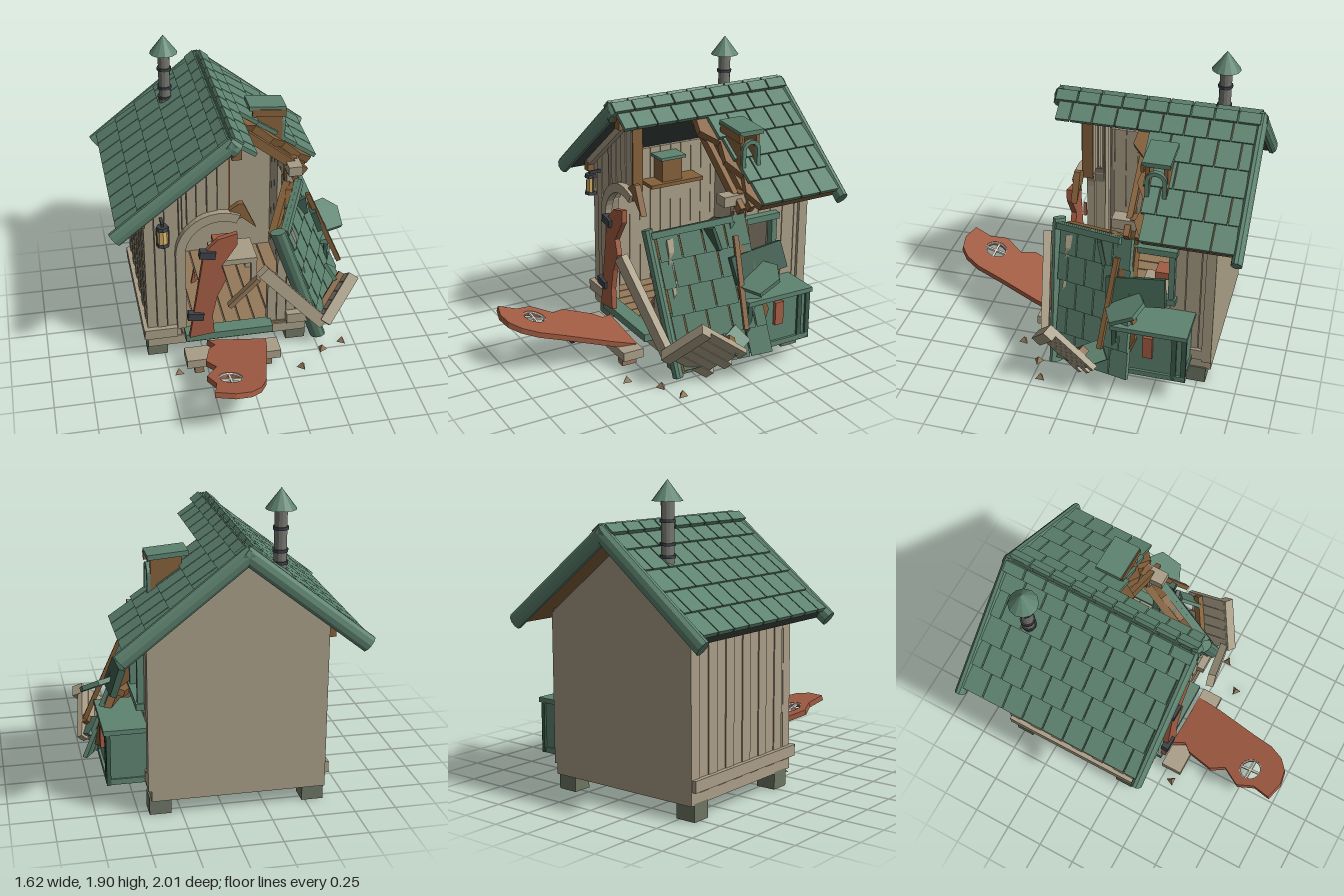
import * as THREE from 'three';

const C = { green: 0x5e8370, dark: 0x3c5a4c, wood: 0xa89d86, brown: 0x84603a, floor: 0x94795a, red: 0xa25c43,
  stone: 0x6d7563, iron: 0x3c4145, pipe: 0x74746f, under: 0x3b4540, glass: 0xd9b56a, pale: 0xd8d4c8 };
const mats = {};
const mat = c => mats[c] ??= new THREE.MeshStandardMaterial({ color: C[c], flatShading: true, side: THREE.DoubleSide });
const V = (x, y, z) => new THREE.Vector3(x, y, z);

function add(parent, name, geo, color, x = 0, y = 0, z = 0, rx = 0, ry = 0, rz = 0) {
  const m = new THREE.Mesh(geo, mat(color));
  m.name = name;
  m.position.set(x, y, z);
  m.rotation.set(rx, ry, rz);
  parent.add(m);
  return m;
}
const box = (p, name, color, w, h, d, x, y, z, rx, ry, rz) => add(p, name, new THREE.BoxGeometry(w, h, d), color, x, y, z, rx, ry, rz);
// box given by its minimum and maximum corners
const span = (p, name, color, x0, x1, y0, y1, z0, z1) =>
  box(p, name, color, x1 - x0, y1 - y0, z1 - z0, (x0 + x1) / 2, (y0 + y1) / 2, (z0 + z1) / 2);
// squared timber between two points
function beam(p, name, color, a, b, w, h = w) {
  const m = box(p, name, color, w, h, a.distanceTo(b), 0, 0, 0);
  m.position.copy(a).add(b).multiplyScalar(0.5);
  m.lookAt(b);
  return m;
}
const shapeOf = pts => new THREE.Shape(pts.map(([x, y]) => new THREE.Vector2(x, y)));
const solid = (shape, depth) => new THREE.ExtrudeGeometry(shape, { depth, bevelEnabled: false, curveSegments: 16 });
const upright = (pts, depth) => solid(shapeOf(pts), depth);
const lying = (pts, depth) => solid(shapeOf(pts), depth).rotateX(Math.PI / 2); // shape y becomes z, top at y = 0
// arched strip with legs down to y = bottom, broken off at angle end
function archPoints(cx, cy, ro, ri, bottom, end) {
  const outer = [], inner = [];
  for (let i = 0; i <= 12; i++) {
    const a = Math.PI + (end - Math.PI) * i / 12;
    outer.push([cx + ro * Math.cos(a), cy + ro * Math.sin(a)]);
    inner.unshift([cx + ri * Math.cos(a), cy + ri * Math.sin(a)]);
  }
  const legs = end <= 0 ? [[cx + ro, bottom], [cx + ri, bottom]] : [];
  return [[cx - ro, bottom], ...outer, ...legs, ...inner, [cx - ri, bottom]];
}
// group whose local x and z follow two given directions
function frame(parent, name, origin, xDir, zDir) {
  const g = new THREE.Group(), x = xDir.clone().normalize();
  const y = zDir.clone().cross(x).normalize();
  g.name = name;
  g.quaternion.setFromRotationMatrix(new THREE.Matrix4().makeBasis(x, y, x.clone().cross(y)));
  g.position.copy(origin);
  parent.add(g);
  return g;
}
// overlapping shingle courses; side is the sign of the downhill direction
function shingles(g, side, length, z0, z1, edge) {
  const courses = Math.round(length / 0.17), step = length / courses, w = 0.14;
  for (let i = 0; i < courses; i++) {
    const s = (i + 0.5) * step, end = Math.min(z1, edge(s));
    for (let z = z0 - (i % 2) * w / 2; z < end - 0.03; z += w) {
      const a = Math.max(z, z0), b = Math.min(z + w, end);
      if (b - a > 0.03) box(g, 'shingle', 'green', step + 0.02, 0.026, b - a - 0.008, side * s, 0.016, (a + b) / 2, 0, 0, side * 0.07);
    }
  }
}
// rounded roof edge log running down the slope
const edgeLog = (g, side, z, s0, s1) => add(g, 'roofEdge', new THREE.CylinderGeometry(1, 1, s1 - s0, 10).rotateZ(Math.PI / 2).scale(1, 0.052, 0.034),
  'green', side * (s0 + s1) / 2, -0.01, z);

export function createModel() {
  const root = new THREE.Group();
  root.name = 'ruinedShed';
  const mid = -0.09, wallTop = x => 1.52 - 0.79 * Math.abs(x - mid);

  // feet, base and floor
  for (const x of [-0.545, 0.375]) for (const z of [0.04, -0.74]) box(root, 'foot', 'stone', 0.13, 0.11, 0.12, x, 0.055, z);
  span(root, 'base', 'wood', -0.61, 0.43, 0.1, 0.165, -0.83, 0.14);
  for (let i = 0; i < 10; i++) span(root, 'floorboard', 'floor', -0.58 + i * 0.098, -0.49 + i * 0.098, 0.16, 0.18, -0.79, 0.13);
  for (const [x0, x1] of [[-0.63, -0.42], [0.3, 0.44]]) span(root, 'frontSkirting', 'wood', x0, x1, 0.18, 0.25, 0.1, 0.17);
  span(root, 'leftSkirting', 'wood', -0.635, -0.6, 0.18, 0.25, -0.82, 0.16);
  span(root, 'rightSkirting', 'wood', 0.42, 0.45, 0.18, 0.25, -0.82, -0.2);

  // back wall and left wall
  add(root, 'backWall', upright([[-0.6, 0.16], [0.42, 0.16], [0.42, wallTop(0.42)], [mid, 1.52], [-0.6, wallTop(-0.6)]], 0.04), 'wood', 0, 0, -0.83);
  for (let i = 0; i < 12; i++) span(root, 'leftPlank', 'wood', -0.61 + (i % 2) * 0.005, -0.57, 0.165, 1.14, -0.83 + i * 0.08, -0.753 + i * 0.08);
  // front planks, cut by the arched doorway and broken off right of the ridge
  const dx = -0.14, dy = 0.81, opening = 0.25;
  const foot = x => Math.abs(x - dx) < opening ? dy + Math.sqrt(opening ** 2 - (x - dx) ** 2) : 0.165;
  const cuts = [-0.61, -0.545, -0.48, -0.391, -0.37, -0.34, -0.28, -0.215, -0.15, -0.08];
  for (let i = 0; i < cuts.length - 1; i++) {
    const a = cuts[i] + 0.002, b = cuts[i + 1] - 0.002;
    add(root, 'frontPlank', upright([[a, foot(a)], [b, foot(b)], [b, wallTop(b)], [a, wallTop(a)]], 0.07), 'wood', 0, 0, 0.065 + (i % 2) * 0.005);
  }
  span(root, 'brokenWallEdge', 'brown', -0.085, -0.07, 1.05, 1.52, 0.06, 0.13);
  [0.42, 0.62, 0.8, 0.55].forEach((h, i) => add(root, 'brokenFrontPlank',
    upright([[0, 0.165], [0.058, 0.165], [0.058, h], [0.03, h + 0.08], [0, h + 0.02]], 0.05), 'wood', 0.18 + i * 0.062, 0, 0.07));
  beam(root, 'gableTrim', 'wood', V(-0.62, 1.1, 0.15), V(mid, 1.52, 0.15), 0.05);
  // door surround with a splintered end
  add(root, 'doorArch', upright(archPoints(dx, dy, 0.28, 0.22, 0.25, 1.1), 0.05), 'wood', 0, 0, 0.13);
  add(root, 'archSplinter', upright([[-0.08, 1.09], [-0.02, 1.13], [0.01, 1.13], [0.09, 0.95], [0, 1.03], [-0.04, 1.02]], 0.04), 'brown', 0, 0, 0.12);

  // right wall remains with window
  for (let i = 0; i < 8; i++) {
    const z = -0.83 + i * 0.09, windowed = i > 2 && i < 6;
    span(root, 'rightPlank', 'wood', 0.39, 0.43, 0.165, windowed ? 0.6 : i > 5 ? 0.58 - i * 0.02 : 1.12, z, z + 0.086);
    if (windowed) span(root, 'rightUpperPlank', 'wood', 0.39, 0.43, 0.96, 1.12, z, z + 0.086);
  }
  span(root, 'cornerPost', 'wood', 0.41, 0.45, 0.165, 1.1, -0.83, -0.77);
  span(root, 'wallPlate', 'wood', 0.38, 0.47, 1.07, 1.135, -0.42, -0.2);
  span(root, 'brokenPost', 'brown', 0.38, 0.46, 0.96, 1.14, -0.36, -0.31);
  for (const y of [0.6, 0.95]) span(root, 'windowRail', 'green', 0.42, 0.48, y - 0.02, y + 0.02, -0.6, -0.24);
  for (const z of [-0.57, -0.27]) span(root, 'windowPost', 'green', 0.42, 0.47, 0.6, 0.95, z - 0.018, z + 0.018);

  // storage box on the right wall
  span(root, 'storageBox', 'green', 0.43, 0.66, 0.18, 0.49, -0.7, -0.27);
  span(root, 'storageLid', 'green', 0.42, 0.69, 0.49, 0.52, -0.72, -0.25);
  for (const z of [-0.7, -0.64, -0.27]) span(root, 'boxBatten', 'dark', 0.65, 0.675, 0.17, 0.49, z - 0.015, z + 0.015);
  span(root, 'boxFootRail', 'green', 0.43, 0.675, 0.17, 0.205, -0.71, -0.26);
  span(root, 'boxHandle', 'red', 0.66, 0.685, 0.32, 0.47, -0.51, -0.45);

  // roof slopes; the right one is broken away at the front
  const down = [0.785, 0.62], broken = s => s < 0.09 ? 0.27 : -0.27 - 0.12 * s + 0.03 * Math.sin(s * 40);
  const left = frame(root, 'leftRoof', V(mid, 1.61, 0), V(down[0], down[1], 0), V(0, 0, 1));
  const right = frame(root, 'rightRoof', V(mid, 1.61, 0), V(down[0], -down[1], 0), V(0, 0, 1));
  add(left, 'roofDeck', lying([[-0.85, -0.96], [0, -0.96], [0, 0.27], [-0.85, 0.27]], 0.055), 'under');
  add(right, 'roofDeck', lying([[0, -0.96], [0.85, -0.96], [0.85, -0.4], [0.74, -0.34], [0.62, -0.38], [0.5, -0.31], [0.36, -0.34],
    [0.26, -0.24], [0.14, -0.26], [0.1, -0.1], [0.06, 0.05], [0.09, 0.2], [0.06, 0.27], [0, 0.27]], 0.055), 'brown');
  shingles(left, -1, 0.85, -0.95, 0.26, () => 1);
  shingles(right, 1, 0.85, -0.95, 0.26, broken);
  for (const z of [-0.966, 0.266]) edgeLog(left, -1, z, -0.02, 0.91);
  edgeLog(right, 1, -0.966, -0.02, 0.91);
  edgeLog(right, 1, 0.266, -0.02, 0.06);
  for (let i = 0; i < 9; i++) for (const g of [left, right])
    box(g, 'ridgeCap', 'green', 0.07, 0.025, 0.13, g === left ? -0.025 : 0.025, 0.04, -0.9 + i * 0.139);
  for (const z of [-0.3, -0.37]) box(right, 'brokenRafter', 'brown', 0.8, 0.06, 0.035, 0.42, -0.075, z);
  beam(root, 'ridgeBeam', 'brown', V(-0.05, 1.54, 0.25), V(-0.05, 1.54, -0.8), 0.06, 0.1);
  span(root, 'leftEaveBeam', 'brown', -0.65, -0.6, 1.04, 1.1, -0.82, 0.18);

  // dormer on the right slope
  for (const z of [-0.385, -0.495]) span(root, 'dormerCheek', 'brown', 0.19, 0.37, 1.24, 1.48, z - 0.012, z + 0.012);
  add(root, 'dormerWindow', upright(archPoints(0, 1.37, 0.065, 0.04, 1.24, 0), 0.03), 'green', 0.36, 0, -0.44, 0, Math.PI / 2);
  box(root, 'dormerRoof', 'green', 0.24, 0.03, 0.17, 0.27, 1.49, -0.44, 0, 0, -0.08);
  box(root, 'dormerFascia', 'brown', 0.22, 0.05, 0.02, 0.28, 1.46, -0.36, 0, 0, -0.08);

  // stove pipe
  const pipe = new THREE.Group();
  pipe.name = 'stovePipe';
  pipe.position.set(-0.34, 0, -0.7);
  root.add(pipe);
  add(pipe, 'pipe', new THREE.CylinderGeometry(0.038, 0.038, 0.42, 12), 'pipe', 0, 1.58, 0);
  for (const y of [1.47, 1.54, 1.67]) add(pipe, 'pipeRing', new THREE.CylinderGeometry(0.046, 0.046, 0.018, 12), 'iron', 0, y, 0);
  add(pipe, 'pipeCap', new THREE.ConeGeometry(0.09, 0.12, 12), 'green', 0, 1.84, 0);

  // lantern
  add(root, 'lanternGlass', new THREE.CylinderGeometry(0.03, 0.034, 0.1, 8), 'glass', -0.5, 0.99, 0.21);
  for (const y of [0.935, 1.05]) add(root, 'lanternPlate', new THREE.CylinderGeometry(0.036, 0.042, 0.022, 8), 'iron', -0.5, y, 0.21);
  for (const x of [-0.537, -0.463]) span(root, 'lanternBar', 'iron', x - 0.004, x + 0.004, 0.93, 1.05, 0.205, 0.215);
  span(root, 'lanternHook', 'iron', -0.508, -0.492, 1.06, 1.08, 0.13, 0.22);

  // doorstep and sill
  span(root, 'doorstep', 'wood', -0.39, 0.22, 0.06, 0.12, 0.22, 0.36);
  for (const x of [-0.31, 0.135]) box(root, 'stepFoot', 'floor', 0.06, 0.06, 0.1, x, 0.03, 0.29);
  span(root, 'doorSill', 'green', -0.37, 0.2, 0.15, 0.2, 0.1, 0.2);

  // piece of door still hanging on its hinges
  add(root, 'hangingDoor', upright([[-0.35, 0.2], [-0.19, 0.22], [-0.2, 0.36], [-0.17, 0.5], [-0.11, 0.63], [-0.14, 0.73], [-0.04, 0.88],
    [-0.04, 0.96], [-0.16, 0.93], [-0.25, 0.84]], 0.035), 'red', 0, 0, 0.19);
  for (const [x, y] of [[-0.23, 0.83], [-0.31, 0.37]]) box(root, 'hinge', 'iron', 0.1, 0.05, 0.05, x, y, 0.22, 0, 0, -0.15);
  add(root, 'doorSplinter', upright([[-0.33, 0.6], [-0.3, 0.61], [-0.31, 0.71]], 0.02), 'red', 0, 0, 0.17);

  // fallen door with porthole
  const door = new THREE.Group();
  door.name = 'fallenDoor';
  door.position.set(-0.1, 0.14, 0.2);
  door.rotation.set(-0.26, 0, -0.1);
  root.add(door);
  const leaf = shapeOf([[-0.14, 0.02], [0.25, 0.02], [0.22, 0.2], [0.15, 0.5], [0.12, 0.65], [0.07, 0.75], [0, 0.81], [-0.1, 0.83], [-0.22, 0.8],
    [-0.19, 0.68], [-0.23, 0.57], [-0.15, 0.44], [-0.2, 0.35], [-0.15, 0.16], [-0.1, 0.1]]);
  leaf.holes.push(new THREE.Path().absarc(-0.09, 0.6, 0.072, 0, Math.PI * 2, true));
  add(door, 'doorLeaf', solid(leaf, 0.035).rotateX(Math.PI / 2), 'red');
  add(door, 'portholeRing', new THREE.TorusGeometry(0.072, 0.008, 6, 20).rotateX(Math.PI / 2), 'pale', -0.09, -0.01, 0.6);
  for (const [w, d] of [[0.014, 0.145], [0.145, 0.014]]) box(door, 'portholeBar', 'pale', w, 0.015, d, -0.09, -0.015, 0.6);
  add(door, 'doorKnob', new THREE.SphereGeometry(0.022, 8, 6), 'iron', 0.1, -0.06, 0.4);

  // furniture inside
  span(root, 'benchSeat', 'wood', -0.1, 0.2, 0.36, 0.4, -0.55, -0.3);
  for (const x of [-0.08, 0.18]) for (const z of [-0.53, -0.32]) box(root, 'benchLeg', 'wood', 0.04, 0.19, 0.04, x, 0.27, z);
  span(root, 'cushion', 'red', -0.08, 0.04, 0.44, 0.49, -0.5, -0.38);
  span(root, 'shelf', 'brown', -0.57, -0.42, 0.9, 0.925, -0.6, -0.2);
  span(root, 'wallCabinet', 'brown', -0.57, -0.45, 0.925, 1.08, -0.45, -0.3);
  span(root, 'cabinetTop', 'green', -0.57, -0.43, 1.08, 1.1, -0.47, -0.28);
  beam(root, 'looseBoard', 'floor', V(-0.05, 0.25, 0), V(0.14, 0.46, 0.02), 0.05, 0.03);

  // collapsed part of the roof leaning on the wall
  const slab = frame(root, 'fallenRoof', V(0.25, 0.9, 0.17), V(0.29, -0.85, -0.05), V(-0.26, -0.05, 0.55));
  add(slab, 'fallenDeck', lying([[0, 0], [0.06, -0.2], [-0.02, -0.38], [0.04, -0.58], [0.4, -0.55], [0.6, -0.6], [0.78, -0.5],
    [0.72, -0.3], [0.84, -0.16], [0.88, 0]], 0.045), 'brown');
  shingles(slab, 1, 0.85, -0.57, 0, s => 1);
  edgeLog(slab, 1, 0.03, -0.03, 0.9);
  for (const x of [0.02, 0.4]) box(slab, 'fallenBatten', 'brown', 0.04, 0.05, 0.56, x, -0.065, -0.28);
  box(slab, 'fallenEdgeBoard', 'green', 0.04, 0.05, 0.5, 0.01, 0.02, -0.24);

  // broken piece of planked wall
  const chunk = frame(root, 'wallFragment', V(0.74, 0.47, 0.1), V(0.04, -0.22, -0.29), V(-0.22, -0.22, 0.17));
  [0.36, 0.33, 0.37, 0.31, 0.35].forEach((l, i) => box(chunk, 'fragmentPlank', 'wood', l, 0.035, 0.066, l / 2, 0, 0.035 + i * 0.07));
  box(chunk, 'fragmentBeam', 'wood', 0.07, 0.07, 0.36, 0.02, 0.02, 0.18);
  box(chunk, 'fragmentBatten', 'brown', 0.05, 0.04, 0.33, 0.24, -0.035, 0.17);

  // loose timbers, panels and splinters
  beam(root, 'fallenBeam', 'wood', V(0.1, 0.72, 0.31), V(0.53, 0.19, 0.21), 0.05, 0.08);
  beam(root, 'fallenPost', 'brown', V(0.44, 1.02, -0.3), V(0.56, 0.7, -0.28), 0.04);
  beam(root, 'fallenRail', 'brown', V(0.52, 0.9, -0.25), V(0.74, 0.38, -0.2), 0.03);
  box(root, 'fallenShutter', 'dark', 0.04, 0.17, 0.36, 0.58, 0.72, -0.38, 0.12, 0, 0.35);
  add(root, 'loosePanel', lying([[-0.11, -0.1], [0.03, -0.13], [0.11, -0.05], [0.08, 0.1], [-0.06, 0.12]], 0.03), 'green', 0.68, 0.67, -0.33, 0.5, 0.2, -0.25);
  box(root, 'looseShingle', 'green', 0.13, 0.025, 0.14, 0.7, 0.3, -0.15, 0.4, 0.3, -0.9);
  box(root, 'looseShingle', 'dark', 0.2, 0.15, 0.025, 0.39, 0.86, -0.12, 0.2, 0.3, 0.2);
  for (const [x, z] of [[-0.44, 0.32], [0.35, 0.41], [0.67, 0.2], [0.52, 0.26]])
    add(root, 'splinter', new THREE.ConeGeometry(0.035, 0.04, 3), 'floor', x, 0.021, z, 0, x * 7, 0);
  return root;
}
